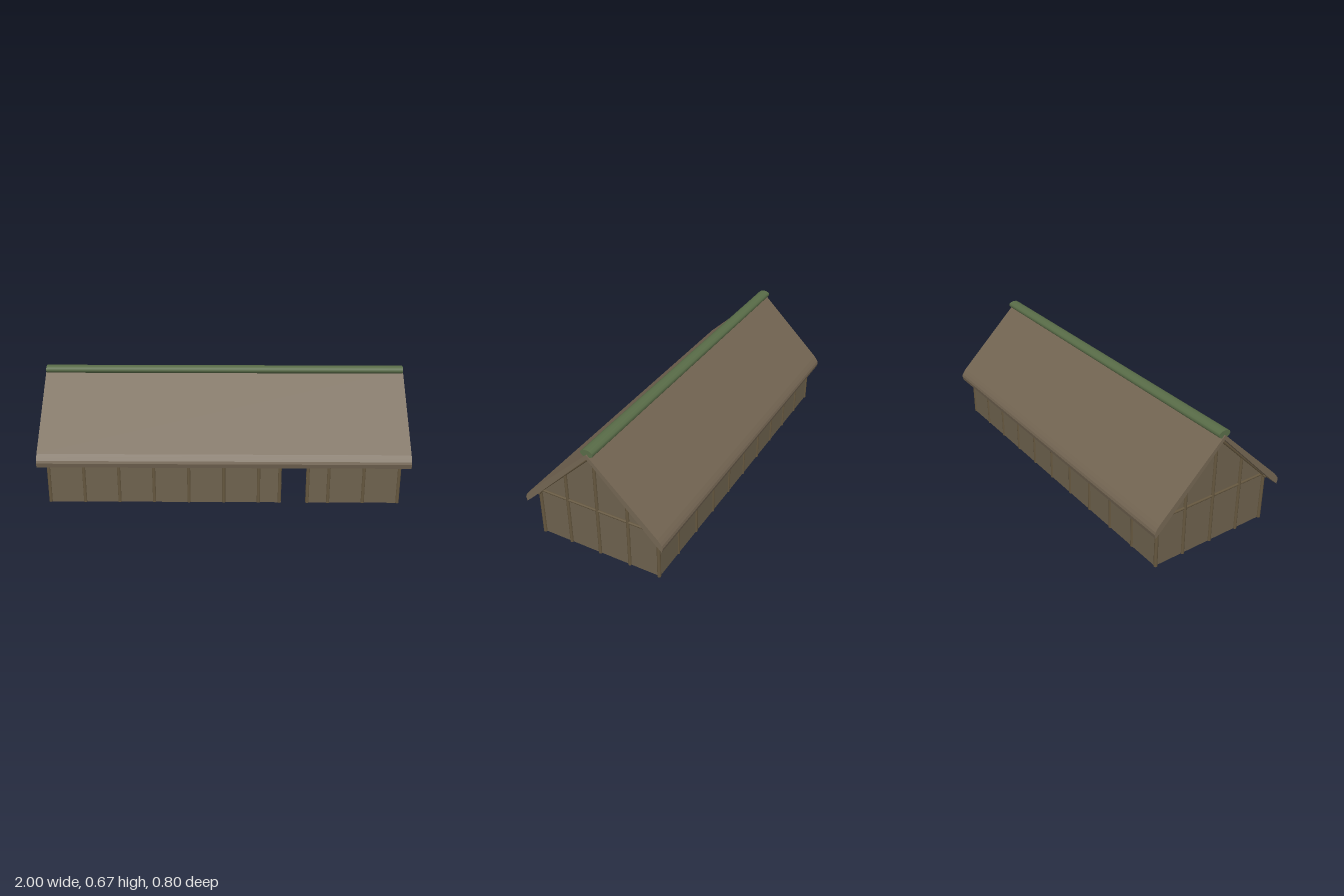
import * as THREE from 'three';

const mat = (name, color) => {
  const m = new THREE.MeshStandardMaterial({ color });
  m.name = name;
  return m;
};

export function createModel() {
  const thatch = mat('thatch', 0x736552);
  const daub = mat('wall daub', 0x6d614d);
  const timber = mat('timber', 0x65573f);
  const turf = mat('ridge turf', 0x586b47);
  const stone = mat('hearth stone', 0x4a443c);

  const model = new THREE.Group();
  model.name = 'longhouse';
  const V = (x, y, z) => new THREE.Vector3(x, y, z);

  function add(name, geometry, material) {
    const mesh = new THREE.Mesh(geometry, material);
    mesh.name = name;
    model.add(mesh);
    return mesh;
  }

  // Round timber between two points
  function pole(name, a, b, r = 0.01) {
    const d = b.clone().sub(a);
    const mesh = add(name, new THREE.CylinderGeometry(r, r, d.length(), 8), timber);
    mesh.position.copy(a).add(b).multiplyScalar(0.5);
    mesh.quaternion.setFromUnitVectors(V(0, 1, 0), d.normalize());
    return mesh;
  }

  // Outline extruded symmetrically about its own plane
  function slab(points, depth) {
    const shape = new THREE.Shape(points.map(([x, y]) => new THREE.Vector2(x, y)));
    const g = new THREE.ExtrudeGeometry(shape, { depth, bevelEnabled: false });
    return g.translate(0, 0, -depth / 2);
  }
  // Outline given as (-z, y), extruded along x
  const crossSlab = (points, depth) => slab(points, depth).rotateY(Math.PI / 2);

  const L = 0.945, W = 0.347, H = 0.272, T = 0.012, PEAK = 0.615;
  const underRoof = z => PEAK - 0.99 * Math.abs(z);

  // Long walls, the front one with a doorway
  add('backWall', slab([[-L, 0], [L, 0], [L, H], [-L, H]], T), daub).position.z = -W + 0.003;
  add('frontWall', slab([
    [-L, 0], [0.312, 0], [0.312, 0.215], [0.446, 0.215], [0.446, 0], [L, 0], [L, H], [-L, H],
  ], T), daub).position.z = W - 0.003;

  // Gable walls with their framing
  for (const s of [-1, 1]) {
    add('gableWall', crossSlab([[-W, 0], [W, 0], [W, H], [0, PEAK], [-W, H]], T), daub).position.x = s * (L - 0.008);
    for (const z of [-0.177, 0, 0.177]) {
      pole('gablePost', V(s * L, 0, z), V(s * L, underRoof(z), z), 0.009);
    }
    pole('gableBeam', V(s * L, 0.278, -W), V(s * L, 0.278, W), 0.007);
  }

  // Wall posts along both sides, skipping the doorway
  for (let i = -5; i <= 5; i++) {
    const x = i * 0.189;
    for (const s of [-1, 1]) {
      if (s === 1 && i === 2) continue;
      pole('wallPost', V(x, 0, s * W), V(x, H, s * W));
    }
  }

  // Door frame
  for (const x of [0.303, 0.455]) pole('doorPost', V(x, 0, W), V(x, H, W));
  pole('doorLintel', V(0.295, 0.22, W), V(0.463, 0.22, W), 0.008);

  // Wall plates, ridge pole and rafters
  for (const s of [-1, 1]) pole('wallPlate', V(-0.965, 0.27, s * W), V(0.965, 0.27, s * W), 0.011);
  pole('ridgePole', V(-0.965, PEAK, 0), V(0.965, PEAK, 0), 0.012);
  for (let i = -5; i <= 5; i++) {
    for (const s of [-1, 1]) {
      pole('rafter', V(i * 0.19, PEAK, 0), V(i * 0.19, 0.272, s * W), 0.008);
    }
  }

  // Tie beams and the inner king post
  for (const x of [-0.5, -0.17, 0.17, 0.5]) pole('tieBeam', V(x, 0.265, -W), V(x, 0.265, W));
  pole('innerPost', V(0.5, 0, 0), V(0.5, PEAK, 0), 0.01);

  // Partitions, each with a doorway
  for (const x of [-0.17, -0.5]) {
    add('partition', crossSlab([
      [-W, 0], [-0.15, 0], [-0.15, 0.215], [-0.03, 0.215], [-0.03, 0], [W, 0], [W, H], [-W, H],
    ], T), daub).position.x = x;
  }

  // Thatch roof with rounded eaves
  const outer = [[0.375, 0.291], [0.388, 0.275], [0.398, 0.26], [0.402, 0.246], [0.396, 0.222]];
  const inner = [[0.352, 0.264], [0, 0.624]];
  const right = [...outer, ...inner];
  const left = [...outer, inner[0]].reverse().map(([z, y]) => [-z, y]);
  add('thatchRoof', crossSlab([[0, 0.65], ...right, ...left], 1.995), thatch);

  // Turf roll along the ridge
  const ridge = add('ridgeTurf', new THREE.CylinderGeometry(1, 1, 1.985, 12).rotateZ(Math.PI / 2), turf);
  ridge.scale.set(1, 0.021, 0.035);
  ridge.position.y = 0.653;

  // Hearth of small stones spread over an oval
  const stoneShape = new THREE.DodecahedronGeometry(0.009, 0);
  for (let i = 0; i < 46; i++) {
    const r = Math.sqrt((i + 0.5) / 46), a = i * 2.39996;
    const pebble = add('hearthStone', stoneShape, stone);
    pebble.position.set(0.115 * r * Math.cos(a), 0.004, 0.095 * r * Math.sin(a));
    pebble.scale.set(1, 0.45, 0.85);
    pebble.rotation.y = a;
  }
  return model;
}
